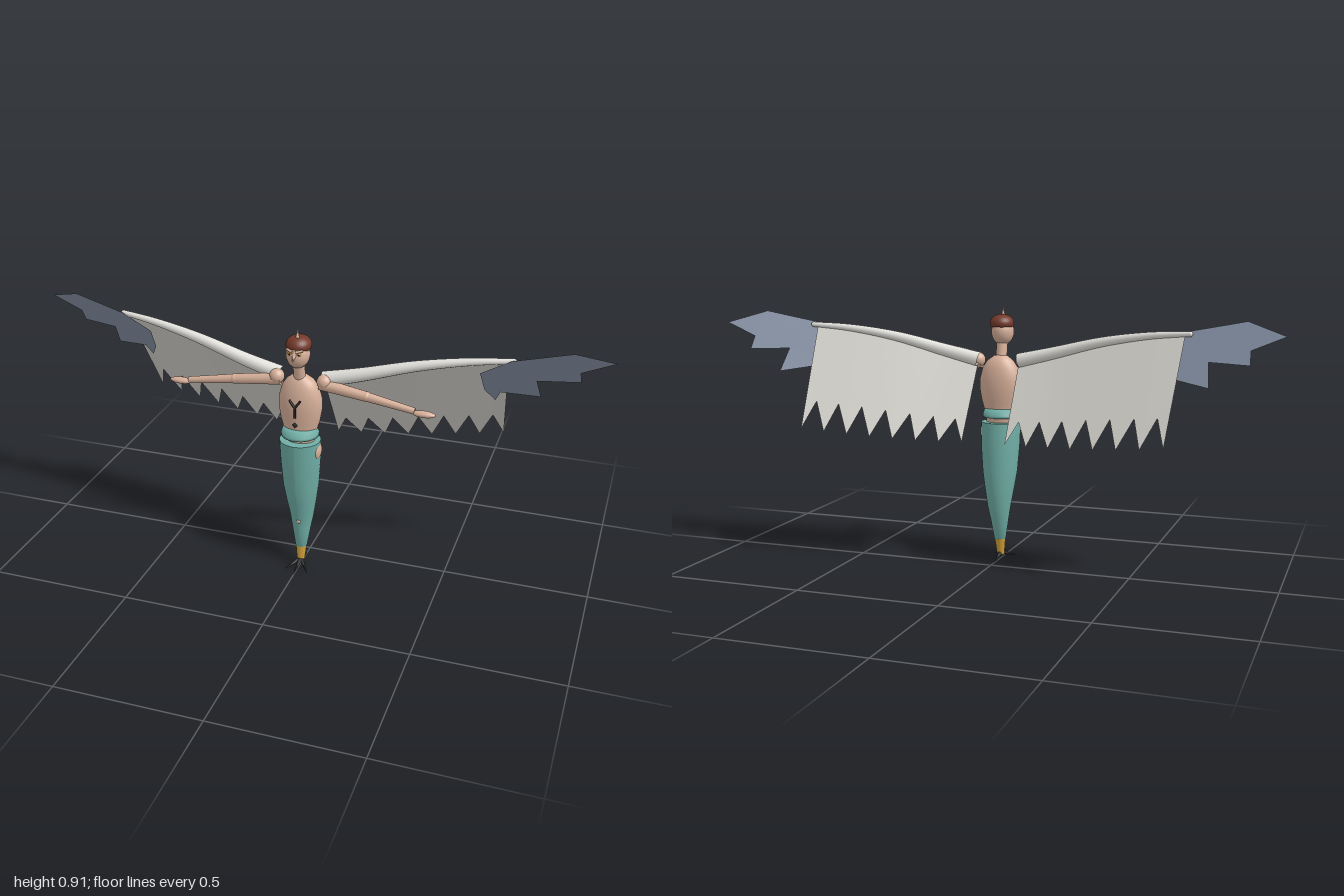
import * as THREE from 'three';

const mat = (name, color, side = THREE.FrontSide) => {
  const m = new THREE.MeshStandardMaterial({ color, side });
  m.name = name;
  return m;
};

export function createModel() {
  const root = new THREE.Group();
  root.name = 'wingedFigure';
  const skin = mat('skin', 0xd6af99);
  const teal = mat('teal', 0x70aea6);
  const hair = mat('hairBrown', 0x73392a);
  const yellow = mat('ochre', 0xd2a03a);
  const dark = mat('dark', 0x2c2c2e);
  const bone = mat('wingBone', 0xe2e1dc);
  const feather = mat('greyFeather', 0xd4d2cc, THREE.DoubleSide);
  const slate = mat('slateFeather', 0x848fa2, THREE.DoubleSide);
  const V = (x, y, z) => new THREE.Vector3(x, y, z);

  const add = (name, geo, material, pos = [0, 0, 0], scale = [1, 1, 1]) => {
    const m = new THREE.Mesh(geo, material);
    m.name = name;
    m.position.set(...pos);
    m.scale.set(...scale);
    root.add(m);
    return m;
  };
  const ball = (name, material, pos, scale) =>
    add(name, new THREE.SphereGeometry(1, 24, 16), material, pos, scale);

  // Tapered rod between two points
  const rod = (name, a, b, ra, rb, material, sides = 14) => {
    const d = b.clone().sub(a);
    const m = add(name, new THREE.CylinderGeometry(rb, ra, d.length(), sides), material,
      a.clone().add(b).multiplyScalar(0.5).toArray());
    m.quaternion.setFromUnitVectors(V(0, 1, 0), d.normalize());
    return m;
  };

  // Oval rings [y, zCentre, halfX, halfZ] joined from bottom to top
  const loft = (name, rings, material) => {
    const g = new THREE.LatheGeometry(rings.map(r => new THREE.Vector2(1, r[0])), 32);
    const p = g.attributes.position;
    for (let i = 0; i < p.count; i++) {
      const [y, z, rx, rz] = rings[i % rings.length];
      p.setXYZ(i, p.getX(i) * rx, y, z + p.getZ(i) * rz);
    }
    g.computeVertexNormals();
    return add(name, g, material);
  };

  // Body
  loft('torso', [[0.5, 0.105, 0.05, 0.04], [0.54, 0.104, 0.056, 0.042], [0.58, 0.103, 0.068, 0.047],
    [0.62, 0.102, 0.075, 0.051], [0.66, 0.102, 0.075, 0.051], [0.7, 0.101, 0.064, 0.045],
    [0.725, 0.102, 0.047, 0.034], [0.742, 0.105, 0.024, 0.02], [0.746, 0.105, 0, 0]], skin);
  loft('waistband', [[0.524, 0.108, 0, 0], [0.524, 0.108, 0.065, 0.0635], [0.533, 0.108, 0.065, 0.0635],
    [0.555, 0.107, 0.058, 0.051], [0.555, 0.107, 0, 0]], teal);
  loft('trousers', [[0.08, 0.1, 0, 0], [0.08, 0.1, 0.021, 0.02], [0.15, 0.095, 0.032, 0.032],
    [0.2, 0.09, 0.041, 0.042], [0.265, 0.094, 0.052, 0.055], [0.33, 0.099, 0.062, 0.064],
    [0.42, 0.103, 0.069, 0.067], [0.506, 0.109, 0.071, 0.068]], teal);
  loft('trousersTop', [[0.506, 0.109, 0.071, 0.068], [0.5061, 0.109, 0, 0]], teal);
  ball('hipPatch', skin, [0.062, 0.47, 0.108], [0.013, 0.03, 0.028]);
  ball('kneePatch', skin, [0, 0.19, 0.127], [0.009, 0.008, 0.007]);

  // Foot and claws
  rod('ankle', V(0, 0.02, 0.107), V(0, 0.082, 0.1), 0.013, 0.02, yellow);
  for (const [x, z] of [[0, 0.187], [0.042, 0.165], [-0.042, 0.165], [0, 0.037]])
    rod('claw', V(0, 0.027, 0.107), V(x, 0.005, z), 0.009, 0.0005, dark, 8);

  // Head
  rod('neck', V(0, 0.73, 0.11), V(0, 0.8, 0.122), 0.02, 0.02, skin);
  ball('head', skin, [0, 0.825, 0.126], [0.04, 0.048, 0.044]);
  add('hair', new THREE.SphereGeometry(1, 28, 12, 0, Math.PI * 2, 0, Math.PI * 0.62), hair,
    [0, 0.855, 0.117], [0.043, 0.032, 0.046]);
  rod('crest', V(0, 0.878, 0.131), V(0, 0.916, 0.128), 0.008, 0.0004, skin, 8);
  rod('nose', V(0, 0.838, 0.16), V(0, 0.818, 0.185), 0.01, 0.001, skin, 8);
  for (const s of [1, -1]) {
    ball('eye', yellow, [s * 0.016, 0.838, 0.163], [0.007, 0.006, 0.005]);
    ball('pupil', dark, [s * 0.016, 0.838, 0.1675], [0.003, 0.003, 0.002]);
    rod('brow', V(s * 0.005, 0.846, 0.169), V(s * 0.028, 0.851, 0.159), 0.005, 0.004, skin, 8);
  }

  // Chest hair and navel
  const chest = V(0, 0.645, 0.163);
  for (const end of [V(0, 0.608, 0.163), V(0.019, 0.671, 0.163), V(-0.019, 0.671, 0.163)])
    rod('chestHair', chest, end, 0.004, 0.004, dark, 6);
  add('navel', new THREE.OctahedronGeometry(0.011), dark, [0, 0.581, 0.163], [1, 1, 0.3]);

  for (const s of [1, -1]) {
    // Arm
    ball('shoulder', skin, [s * 0.083, 0.725, 0.102], [0.026, 0.026, 0.026]);
    const elbow = V(s * 0.23, 0.698, 0.112), wrist = V(s * 0.395, 0.674, 0.12);
    rod('upperArm', V(s * 0.07, 0.717, 0.103), elbow, 0.021, 0.017, skin);
    ball('elbow', skin, elbow.toArray(), [0.0175, 0.0175, 0.0175]);
    rod('forearm', elbow, wrist, 0.016, 0.011, skin);
    ball('hand', skin, [s * 0.425, 0.668, 0.121], [0.04, 0.011, 0.015]);

    // Tapered wing bone
    const path = new THREE.CatmullRomCurve3([V(s * 0.075, 0.727, 0.085), V(s * 0.2, 0.757, 0.077),
      V(s * 0.38, 0.803, 0.055), V(s * 0.55, 0.831, 0.03), V(s * 0.685, 0.842, 0.008)]);
    const seg = 24, sides = 14;
    const tube = new THREE.TubeGeometry(path, seg, 1, sides);
    const p = tube.attributes.position, q = V(0, 0, 0);
    for (let i = 0; i < p.count; i++) {
      const t = Math.floor(i / (sides + 1)) / seg;
      const c = path.getPointAt(t);
      q.fromBufferAttribute(p, i).sub(c).multiplyScalar(0.027 - 0.018 * t).add(c);
      p.setXYZ(i, q.x, q.y, q.z);
    }
    add('wingBone', tube, bone);
    ball('wingBoneTip', bone, [s * 0.685, 0.842, 0.008], [0.009, 0.009, 0.009]);

    // Feather sheet with pointed lower edge
    const pos = [], idx = [], cols = 15;
    for (let i = 0; i < cols; i++) {
      const t = i / (cols - 1);
      const top = path.getPoint(t * 0.97);
      const low = V(s * (0.078 + 0.565 * t), 0.455 + 0.035 * t * t, -0.083 - 0.102 * t);
      if (i % 2) low.lerp(top, 0.27);
      pos.push(...top.toArray(), ...low.toArray());
      if (i) idx.push(2 * i - 2, 2 * i - 1, 2 * i, 2 * i, 2 * i - 1, 2 * i + 1);
    }
    const sheet = new THREE.BufferGeometry();
    sheet.setAttribute('position', new THREE.Float32BufferAttribute(pos, 3));
    sheet.setIndex(idx);
    sheet.computeVertexNormals();
    add('wingFeathers', sheet, feather);

    // Slate wing tip lying in one slanted plane
    const outline = [[0.58, 0.79], [0.68, 0.85], [0.87, 0.888], [1, 0.847], [0.89, 0.8], [0.892, 0.755],
      [0.755, 0.758], [0.767, 0.68], [0.64, 0.7], [0.622, 0.66], [0.59, 0.71]];
    const tip = new THREE.ShapeGeometry(new THREE.Shape(outline.map(([x, y]) => new THREE.Vector2(s * x, y))));
    const tp = tip.attributes.position;
    for (let i = 0; i < tp.count; i++)
      tp.setZ(i, -0.324 - 0.276 * Math.abs(tp.getX(i)) + 0.635 * tp.getY(i));
    tip.computeVertexNormals();
    add('wingTip', tip, slate);
  }
  return root;
}
